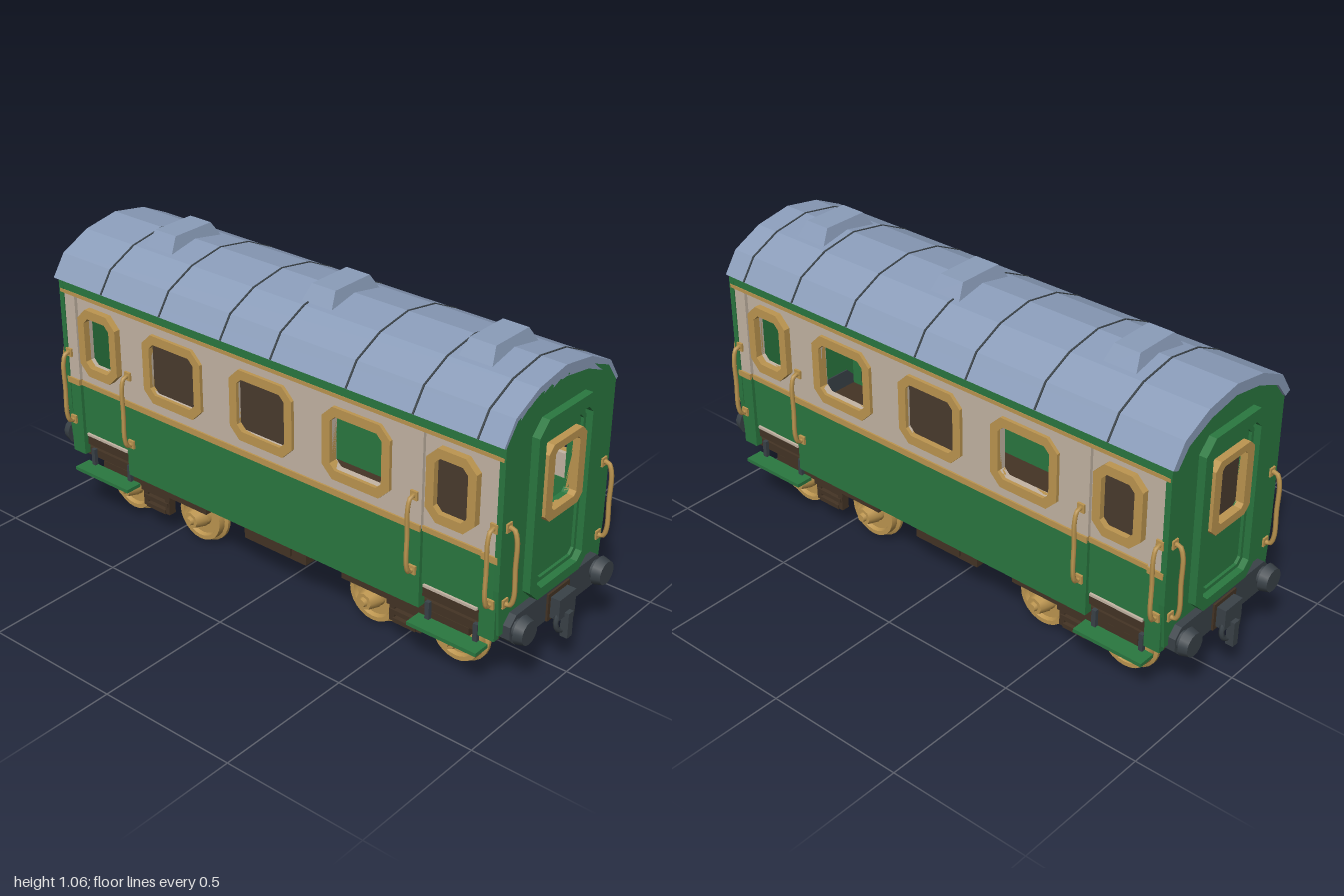
import * as THREE from 'three';
import { toCreasedNormals } from 'three/addons/utils/BufferGeometryUtils.js';

const colour = (name, hex) => {
  const m = new THREE.MeshStandardMaterial({ color: hex });
  m.name = name;
  return m;
};

export function createModel() {
  const green = colour('green paint', 0x2a7840);
  const cream = colour('cream paint', 0xc4b5a4);
  const gold = colour('brass', 0xbd9650);
  const roofBlue = colour('roof blue grey', 0x8b9dba);
  const glassBrown = colour('dark glass', 0x4a3b2e);
  const brown = colour('underframe brown', 0x443425);
  const slate = colour('slate iron', 0x3a4248);

  const model = new THREE.Group();
  model.name = 'railwayCarriage';

  // ---- helpers ----
  const add = (parent, name, geo, mat, x = 0, y = 0, z = 0) => {
    const mesh = new THREE.Mesh(geo, mat);
    mesh.name = name;
    mesh.position.set(x, y, z);
    parent.add(mesh);
    return mesh;
  };
  const box = (parent, name, mat, x0, x1, y0, y1, z0, z1) =>
    add(parent, name, new THREE.BoxGeometry(x1 - x0, y1 - y0, z1 - z0), mat,
      (x0 + x1) / 2, (y0 + y1) / 2, (z0 + z1) / 2);
  const group = (parent, name) => {
    const g = new THREE.Group();
    g.name = name;
    parent.add(g);
    return g;
  };
  // rectangle with cut corners
  const cutRect = (x0, x1, y0, y1, c = 0) => (c ? [
    [x0 + c, y0], [x1 - c, y0], [x1, y0 + c], [x1, y1 - c],
    [x1 - c, y1], [x0 + c, y1], [x0, y1 - c], [x0, y0 + c],
  ] : [[x0, y0], [x1, y0], [x1, y1], [x0, y1]]).map(([x, y]) => new THREE.Vector2(x, y));
  const plate = (points, holes, depth) => {
    const shape = new THREE.Shape(points);
    holes.forEach((h) => shape.holes.push(new THREE.Path(h)));
    return new THREE.ExtrudeGeometry(shape, { depth, bevelEnabled: false });
  };
  // vertical grab rail standing off a wall that faces +z
  const rail = (parent, x, z) => {
    const pts = [[0.35, 0], [0.35, 0.022], [0.38, 0.034], [0.48, 0.034], [0.58, 0.034], [0.61, 0.022], [0.61, 0]]
      .map(([y, d]) => new THREE.Vector3(x, y, z + d));
    add(parent, 'handrail', new THREE.TubeGeometry(new THREE.CatmullRomCurve3(pts), 24, 0.008, 6), gold);
    [0.35, 0.61].forEach((y) => box(parent, 'handrailFoot', gold, x - 0.013, x + 0.013, y - 0.015, y + 0.015, z - 0.004, z + 0.008));
  };

  // ---- long sides, each built facing +z ----
  const buildSide = (name, glazed) => {
    const side = group(model, name);
    const opening = (x, w) => cutRect(x - w / 2, x + w / 2, 0.585, 0.77, 0.02);
    const mainX = [-0.39, 0, 0.385];
    add(side, 'upperPanel', plate(cutRect(-0.63, 0.63, 0.5, 0.84), mainX.map((x) => opening(x, 0.2)), 0.022), cream, 0, 0, 0.258);
    box(side, 'lowerPanel', green, -0.63, 0.63, 0.22, 0.5, 0.25, 0.28);
    box(side, 'cantRail', green, -0.915, 0.915, 0.845, 0.89, 0.25, 0.283);
    box(side, 'upperTrim', gold, -0.915, 0.915, 0.832, 0.845, 0.255, 0.285);
    box(side, 'waistTrim', gold, -0.63, 0.63, 0.492, 0.514, 0.27, 0.286);

    const windowAt = (x, outer, inner) => {
      add(side, 'windowFrame', plate(cutRect(x - outer / 2, x + outer / 2, 0.552, 0.802, 0.04), [opening(x, inner)], 0.032), gold, 0, 0, 0.26);
      if (glazed.includes(x)) {
        box(side, 'windowGlass', glassBrown, x - inner / 2 - 0.004, x + inner / 2 + 0.004, 0.58, 0.775, 0.266, 0.272);
      }
    };
    mainX.forEach((x) => windowAt(x, 0.262, 0.2));

    for (const s of [-1, 1]) {
      const d = 0.74 * s;
      // recessed door, its surround and sill
      add(side, 'doorUpper', plate(cutRect(d - 0.112, d + 0.112, 0.5, 0.835), [opening(d, 0.12)], 0.015), cream, 0, 0, 0.253);
      box(side, 'doorLower', green, d - 0.112, d + 0.112, 0.3, 0.5, 0.25, 0.268);
      box(side, 'doorTrim', gold, d - 0.11, d + 0.11, 0.492, 0.51, 0.26, 0.274);
      box(side, 'doorSill', brown, d - 0.112, d + 0.112, 0.255, 0.3, 0.25, 0.262);
      box(side, 'sillEdge', cream, d - 0.1, d + 0.1, 0.298, 0.307, 0.255, 0.276);
      windowAt(d, 0.18, 0.12);
      const j0 = Math.min(0.852 * s, 0.91 * s), j1 = Math.max(0.852 * s, 0.91 * s);
      box(side, 'cornerUpper', cream, j0, j1, 0.5, 0.84, 0.255, 0.28);
      box(side, 'cornerLower', green, j0, j1, 0.22, 0.5, 0.255, 0.28);
      box(side, 'cornerTrim', gold, j0, j1, 0.492, 0.514, 0.27, 0.286);
      rail(side, 0.605 * s, 0.28);
      rail(side, 0.893 * s, 0.28);
      // footstep with hangers
      box(side, 'footstep', green, d - 0.13, d + 0.13, 0.165, 0.178, 0.25, 0.313);
      [-0.09, 0.09].forEach((o) => box(side, 'stepHanger', slate, d + o - 0.008, d + o + 0.008, 0.17, 0.24, 0.25, 0.264));
    }
    return side;
  };
  buildSide('frontSide', [-0.39, 0, 0.74]);
  buildSide('backSide', [0, 0.74]).rotation.y = Math.PI;

  // ---- ends, each built facing +z and then turned ----
  const buildEnd = (name, glazed) => {
    const end = group(model, name);
    const half = [[0.27, 0.24], [0.283, 0.4], [0.284, 0.88], [0.235, 0.945], [0.125, 0.99]];
    const outline = [...half, [0, 1.01], ...half.slice().reverse().map(([x, y]) => [-x, y])]
      .map(([x, y]) => new THREE.Vector2(x, y));
    const opening = cutRect(-0.065, 0.065, 0.585, 0.787, 0.012);
    add(end, 'endWall', plate(outline, [opening], 0.02), green, 0, 0, 0.9);
    add(end, 'doorSurround', plate(cutRect(-0.158, 0.158, 0.3, 0.91, 0.045), [cutRect(-0.122, 0.122, 0.335, 0.868, 0.025)], 0.035), green, 0, 0, 0.912);
    add(end, 'doorMoulding', plate(cutRect(-0.112, 0.112, 0.345, 0.855, 0.02), [cutRect(-0.1, 0.1, 0.358, 0.843, 0.018)], 0.018), green, 0, 0, 0.912);
    add(end, 'endWindowFrame', plate(cutRect(-0.1, 0.1, 0.555, 0.812, 0.025), [opening], 0.04), gold, 0, 0, 0.905);
    if (glazed) box(end, 'endWindowGlass', glassBrown, -0.068, 0.068, 0.58, 0.79, 0.91, 0.916);
    [-0.252, 0.252].forEach((x) => rail(end, x, 0.918));

    // buffer beam, buffers and coupling
    add(end, 'bufferBeam', plate(cutRect(-0.25, 0.25, 0.195, 0.3, 0.03), [], 0.05), slate, 0, 0, 0.895);
    for (const x of [-0.212, 0.212]) {
      const stem = add(end, 'bufferStem', new THREE.CylinderGeometry(0.028, 0.034, 0.05, 12), slate, x, 0.252, 0.955);
      const head = add(end, 'bufferHead', new THREE.CylinderGeometry(0.04, 0.048, 0.03, 14), slate, x, 0.252, 0.975);
      stem.rotation.x = head.rotation.x = Math.PI / 2;
    }
    box(end, 'couplingPlate', brown, -0.058, 0.058, 0.195, 0.292, 0.93, 0.952);
    box(end, 'couplingBlock', slate, -0.045, 0.045, 0.205, 0.278, 0.945, 0.985);
    add(end, 'couplingLoop', new THREE.TorusGeometry(0.045, 0.009, 6, 16), slate, 0, 0.195, 0.975);
    box(end, 'couplingHook', slate, -0.013, 0.013, 0.13, 0.22, 0.972, 1.0);
    return end;
  };
  buildEnd('leftEnd', false).rotation.y = Math.PI / 2;
  buildEnd('rightEnd', true).rotation.y = -Math.PI / 2;

  // ---- faceted roof with seams and vents ----
  const roofGeo = (length, grow) => {
    const outer = [[0.296, 0.882], [0.245, 0.957], [0.135, 1.01]].map(([x, y]) => [x + grow, y + grow]);
    const inner = [[0.272, 0.872], [0.225, 0.93], [0.12, 0.975]];
    const flip = (list) => list.slice().reverse().map(([x, y]) => [-x, y]);
    const pts = [...outer, [0, 1.033 + grow], ...flip(outer), ...inner.map(([x, y]) => [-x, y]), [0, 0.995], ...flip(inner).map(([x, y]) => [-x, y])];
    const geo = plate(pts.map(([x, y]) => new THREE.Vector2(x, y)), [], length);
    return geo.translate(0, 0, -length / 2).rotateY(Math.PI / 2);
  };
  add(model, 'roof', roofGeo(1.85, 0), roofBlue, -0.005);
  [-0.7, -0.43, -0.16, 0.05, 0.35, 0.6, 0.83].forEach((x) => add(model, 'roofSeam', roofGeo(0.006, 0.002), slate, x));
  for (const x of [-0.6, 0.085, 0.685]) {
    const geo = new THREE.BoxGeometry(0.125, 0.06, 0.245).toNonIndexed();
    const p = geo.attributes.position;
    for (let i = 0; i < p.count; i++) {
      if (p.getY(i) > 0) p.setXYZ(i, p.getX(i) * 0.75, p.getY(i), p.getZ(i) * 0.68);
    }
    geo.computeVertexNormals();
    add(model, 'roofVent', geo, roofBlue, x, 1.034, 0);
  }

  // ---- floor and underframe ----
  box(model, 'floor', brown, -0.9, 0.9, 0.205, 0.235, -0.25, 0.25);
  for (const s of [-1, 1]) {
    box(model, 'soleBar', brown, -0.88, 0.88, 0.18, 0.21, s * 0.2 - 0.02, s * 0.2 + 0.02);
    box(model, 'innerSill', brown, -0.88, 0.88, 0.185, 0.21, s * 0.07 - 0.015, s * 0.07 + 0.015);
    box(model, 'equipmentBox', brown, -0.14, 0.13, 0.135, 0.21, s * 0.155 - 0.07, s * 0.155 + 0.07);
    box(model, 'equipmentLid', brown, -0.07, 0.07, 0.15, 0.19, s * 0.228 - 0.006, s * 0.228 + 0.006);
  }
  for (let x = -0.3; x < 0.31; x += 0.15) box(model, 'crossBearer', brown, x - 0.015, x + 0.015, 0.185, 0.21, -0.24, 0.24);

  // ---- bogies ----
  const wheelProfile = [[0.106, 0], [0.106, 0.012], [0.095, 0.018], [0.093, 0.042], [0.078, 0.042],
    [0.073, 0.028], [0.042, 0.028], [0.038, 0.048], [0, 0.048]].map(([r, t]) => new THREE.Vector2(r, t));
  const wheelGeo = toCreasedNormals(new THREE.LatheGeometry(wheelProfile, 24), 0.6);
  for (const cx of [-0.553, 0.542]) {
    const bogie = group(model, 'bogie');
    bogie.position.x = cx;
    box(bogie, 'bolster', brown, -0.06, 0.06, 0.172, 0.2, -0.22, 0.22);
    box(bogie, 'pivot', brown, -0.05, 0.05, 0.12, 0.2, -0.05, 0.05);
    for (const s of [-1, 1]) {
      const near = (z, d) => [Math.min(s * z, s * (z + d)), Math.max(s * z, s * (z + d))];
      box(bogie, 'sideFrame', brown, -0.25, 0.25, 0.165, 0.195, ...near(0.195, 0.045));
      [0.085, 0.115, 0.145].forEach((y, i) =>
        box(bogie, 'leafSpring', brown, -0.045 - i * 0.012, 0.045 + i * 0.012, y, y + 0.016, ...near(0.2, 0.035)));
      for (const t of [-1, 1]) {
        box(bogie, 'springPost', brown, t * 0.052 - 0.01, t * 0.052 + 0.01, 0.085, 0.17, ...near(0.2, 0.03));
        // wheel, inner disc and axle box
        const wheel = group(bogie, 'wheel');
        wheel.position.set(t * 0.165, 0.106, s * 0.143);
        wheel.rotation.x = s * Math.PI / 2;
        add(wheel, 'wheelRim', wheelGeo, gold);
        add(wheel, 'wheelBack', new THREE.CylinderGeometry(0.1, 0.1, 0.006, 24), brown, 0, -0.001, 0);
        add(wheel, 'axleBox', new THREE.CylinderGeometry(0.03, 0.042, 0.045, 8), gold, 0, 0.066, 0);
        add(wheel, 'axleCap', new THREE.CylinderGeometry(0.014, 0.018, 0.014, 8), gold, 0, 0.094, 0);
      }
    }
    for (const t of [-1, 1]) {
      add(bogie, 'axle', new THREE.CylinderGeometry(0.025, 0.025, 0.29, 10), brown, t * 0.165, 0.108, 0).rotation.x = Math.PI / 2;
    }
  }
  return model;
}
